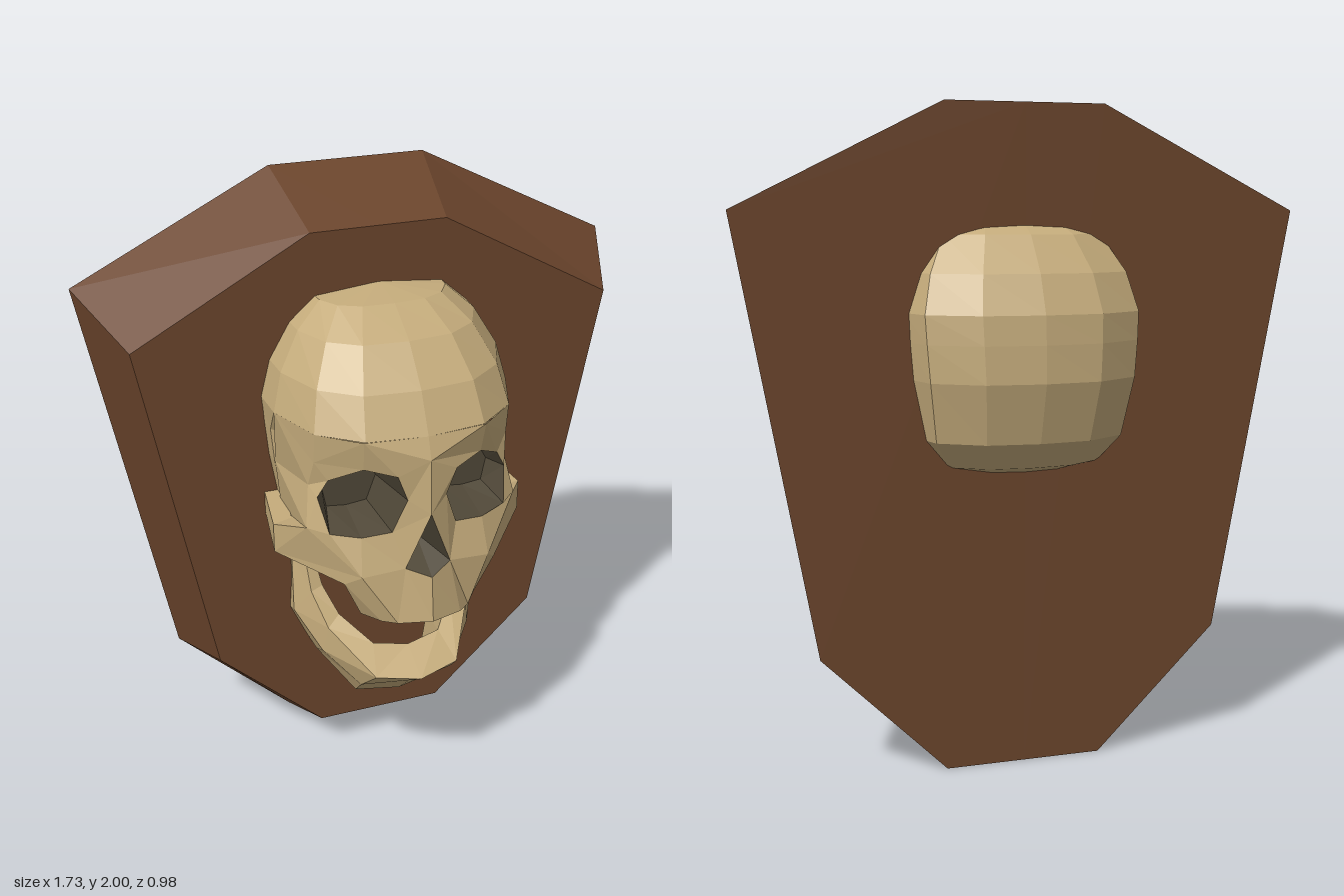
import * as THREE from 'three';

const BONE = 0xc4ab7b, WOOD = 0x6b452c, HOLLOW = 0x504838;

// Quads between two rows of points, upper row first, running toward +x
const strip = (a, b, closed = false) =>
  a.slice(0, closed ? a.length : -1).map((p, i) => {
    const j = (i + 1) % a.length;
    return [p, b[i], b[j], a[j]];
  });

// Faceted mesh from convex polygons, mirrored across x = 0
function facets(name, polys, color, mirror = true) {
  const pos = [];
  const add = (p) => {
    for (let i = 1; i < p.length - 1; i++) pos.push(...p[0], ...p[i], ...p[i + 1]);
  };
  for (const p of polys) {
    add(p);
    if (mirror) add(p.map(([x, y, z]) => [-x, y, z]).reverse());
  }
  const geo = new THREE.BufferGeometry();
  geo.setAttribute('position', new THREE.Float32BufferAttribute(pos, 3));
  geo.computeVertexNormals();
  const mat = new THREE.MeshStandardMaterial({ color, flatShading: true, side: THREE.DoubleSide });
  const mesh = new THREE.Mesh(geo, mat);
  mesh.name = name;
  return mesh;
}

// Bevelled wall plaque, half outlines from top centre to bottom centre
function plaque() {
  const front = [[0, 1.88], [0.21, 1.88], [0.75, 1.585], [0.55, 0.47], [0.21, 0.14], [0, 0.14]]
    .map(([x, y]) => [x, y, 0.007]);
  const back = [[0, 2], [0.245, 2], [0.865, 1.69], [0.63, 0.38], [0.245, 0], [0, 0]]
    .map(([x, y]) => [x, y, -0.288]);
  return facets('plaque', [[...front].reverse(), back, ...strip(back, front)], WOOD);
}

// Braincase: stacked half rings of [height, half width, front z, back z]
function cranium() {
  const ring = [[0, 1], [0.48, 0.95], [0.8, 0.72], [0.98, 0.3], [1, -0.1],
    [0.96, -0.55], [0.87, -0.78], [0.48, -0.96], [0, -1]];
  const rows = [
    [1.71, 0, 0, 0], [1.69, 0.2, 0.14, -0.2], [1.62, 0.28, 0.26, -0.34],
    [1.51, 0.345, 0.36, -0.43], [1.395, 0.375, 0.42, -0.48], [1.31, 0.37, 0.2, -0.487],
    [1.2, 0.36, 0.19, -0.49], [1.02, 0.33, 0.15, -0.44], [0.935, 0.27, 0.1, -0.36],
    [0.905, 0.19, 0.05, -0.27], [0.905, 0, -0.1, -0.1],
  ].map(([y, w, zf, zb]) => ring.map(([x, z]) => [x * w, y, z > 0 ? z * zf : -z * zb]));
  return facets('cranium', rows.slice(1).flatMap((r, i) => strip(rows[i], r)), BONE);
}

function face() {
  const group = new THREE.Group();
  group.name = 'face';

  // Eye rim and the bone around it, starting at the nose and going under the eye
  const rim = [[0.06, 1.2, 0.42], [0.1, 1.09, 0.4], [0.19, 1.08, 0.385], [0.275, 1.09, 0.35],
    [0.295, 1.19, 0.3], [0.265, 1.245, 0.31], [0.18, 1.3, 0.38], [0.09, 1.28, 0.42]];
  const around = [[0, 1.16, 0.455], [0.07, 0.98, 0.435], [0.2, 0.965, 0.42], [0.33, 1.095, 0.3],
    [0.31, 1.215, 0.26], [0.3, 1.3, 0.29], [0.185, 1.395, 0.4], [0, 1.33, 0.445]];
  const [noseTop, noseSide, underEye, cheekTop, orbitSide, browSide, brow, browMid] = around;
  group.add(facets('eyeSurround', strip(rim, around, true), BONE));

  // Forehead edge and temples
  const t = [[0.3, 1.395, 0.302], [0.367, 1.395, 0.126], [0.352, 1.2, 0.06], [0.335, 1.03, 0.05]];
  group.add(facets('temple', [
    [browMid, brow, [0, 1.395, 0.42]], [brow, browSide, t[0]], [browSide, t[1], t[0]],
    [browSide, orbitSide, t[2], t[1]], [orbitSide, cheekTop, t[3], t[2]],
  ], BONE));

  // Hollow sockets and nose
  const floor = rim.map(([x, y]) => [0.18 + (x - 0.18) * 0.72, 1.19 + (y - 1.19) * 0.72, 0.235]);
  group.add(facets('eyeSockets', [...strip(floor, rim, true), floor], HOLLOW));
  const noseBase = [0, 0.955, 0.47], noseDeep = [0, 1.03, 0.33];
  group.add(facets('noseCavity',
    [[noseTop, noseDeep, noseSide], [noseDeep, noseBase, noseSide]], HOLLOW));

  // Upper jaw
  const cheekLow = [0.24, 0.925, 0.375], jawBack = [0.22, 0.92, 0.19];
  const top = [noseBase, noseSide, underEye, cheekLow, jawBack];
  const low = [[0, 0.81, 0.487], [0.1, 0.805, 0.455], [0.14, 0.8, 0.42],
    [0.185, 0.8, 0.36], [0.17, 0.8, 0.25]];
  const palate = [0, 0.8, 0.25], palateTop = [0, 0.92, 0.19];
  group.add(facets('upperJaw', [
    ...strip(top, low), [...low, palate], [jawBack, low[4], palate, palateTop],
    [jawBack, palateTop, [0, 0.92, 0], [0.22, 0.92, 0]],
  ], BONE));

  // Cheekbone and the arch running back from it
  const arch = [[0.4, 0.19, 0.965, 1.06], [0.375, 0, 1.0, 1.07], [0.34, -0.1, 1.02, 1.07]]
    .map(([x, z, y0, y1]) => [[x, y1, z], [x, y0, z], [x - 0.06, y0, z], [x - 0.06, y1, z]]);
  const [outTop, outLow, inLow, inTop] = arch[0];
  group.add(facets('cheekbone', [
    [underEye, cheekLow, outLow], [underEye, outLow, outTop, cheekTop],
    [cheekLow, jawBack, inLow, outLow], [cheekTop, outTop, inTop, t[3]],
    ...strip(arch[0], arch[1], true), ...strip(arch[1], arch[2], true),
  ], BONE));
  return group;
}

// Open lower jaw: sections from the chin back and up to the joint,
// each running inner rim, outer rim, outer side, bottom, inner bottom
function lowerJaw() {
  const s = [
    [[0, 0.59, 0.28], [0, 0.535, 0.4], [0, 0.45, 0.29], [0, 0.36, 0.2], [0, 0.4, 0.12]],
    [[0.11, 0.605, 0.26], [0.135, 0.545, 0.36], [0.155, 0.46, 0.27], [0.14, 0.365, 0.17], [0.11, 0.41, 0.1]],
    [[0.19, 0.67, 0.16], [0.235, 0.645, 0.19], [0.25, 0.55, 0.17], [0.23, 0.46, 0.03], [0.17, 0.49, 0.01]],
    [[0.225, 0.75, 0.1], [0.265, 0.74, 0.11], [0.31, 0.65, 0.06], [0.305, 0.61, -0.04], [0.24, 0.61, -0.04]],
    [[0.24, 0.84, 0.065], [0.27, 0.84, 0.07], [0.3, 0.83, 0.02], [0.29, 0.8, -0.06], [0.25, 0.8, -0.06]],
    [[0.25, 0.92, 0.11], [0.275, 0.92, 0.11], [0.29, 0.99, 0.04], [0.285, 0.99, -0.06], [0.25, 0.99, -0.06]],
  ];
  return facets('lowerJaw',
    [...s.slice(1).flatMap((b, i) => strip(b, s[i], true)), s[5]], BONE);
}

export function createModel() {
  const model = new THREE.Group();
  model.name = 'mountedSkull';
  const skull = new THREE.Group();
  skull.name = 'skull';
  skull.add(cranium(), face(), lowerJaw());
  model.add(plaque(), skull);
  return model;
}
